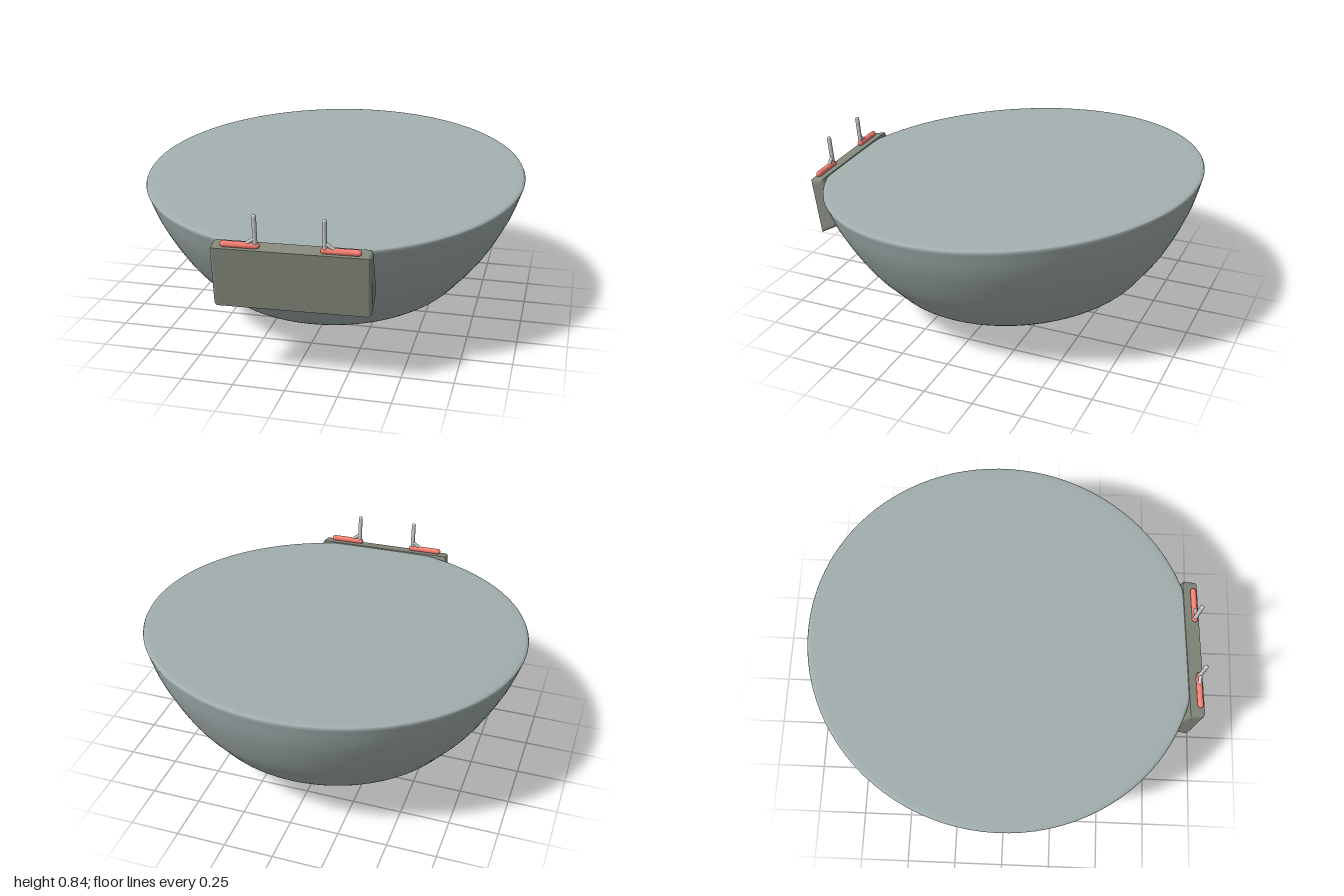
import * as THREE from 'three';

const mat = (color) => new THREE.MeshStandardMaterial({ color });

function add(parent, name, geometry, material) {
  const mesh = new THREE.Mesh(geometry, material);
  mesh.name = name;
  parent.add(mesh);
  return mesh;
}

export function createModel() {
  const model = new THREE.Group();
  const shellMat = mat(0xa3afaf), boxMat = mat(0x84897c), redMat = mat(0xfa8072), greyMat = mat(0xcccccc);

  // Bowl: solid, tilted toward the front, turned about the centre of its top
  const bowl = new THREE.Group();
  bowl.name = 'bowl';
  bowl.position.set(0, 0.757, -0.025);
  bowl.rotation.x = 0.0775;
  model.add(bowl);
  const side = new THREE.SplineCurve([
    [0, -0.755], [0.18, -0.735], [0.37, -0.688], [0.616, -0.58], [0.72, -0.48],
    [0.82, -0.351], [0.921, -0.165], [0.972, -0.025],
  ].map(([r, y]) => new THREE.Vector2(r, y))).getPoints(48);
  side[0].x = 0;
  add(bowl, 'bowlShell', new THREE.LatheGeometry(side, 96), shellMat);
  // Softly rounded rim running into the flat top
  const rim = [[0.972, -0.025], [0.976, -0.012], [0.972, -0.004], [0.96, -0.001], [0.93, 0], [0, 0]]
    .map(([r, y]) => new THREE.Vector2(r, y));
  add(bowl, 'bowlTop', new THREE.LatheGeometry(rim, 96), shellMat);

  // Control unit: wedge-shaped box on the front, turned slightly
  const control = new THREE.Group();
  control.name = 'controlUnit';
  control.position.set(0.022, 0, 0.93);
  control.rotation.y = 0.043;
  model.add(control);
  const bevel = 0.018, length = 0.735;
  const profile = new THREE.Shape([
    [-0.022, 0.661], [0.02, 0.67], [0.112, 0.459], [0.012, 0.4],
  ].map(([x, y]) => new THREE.Vector2(x, y)));
  const housing = new THREE.ExtrudeGeometry(profile, {
    depth: length - 2 * bevel, bevelEnabled: true, bevelSize: bevel,
    bevelThickness: bevel, bevelSegments: 4,
  });
  housing.translate(0, 0, bevel - length / 2).rotateY(Math.PI / 2);
  add(control, 'housing', housing, boxMat);

  // Mirrored pair of switches: red bar, upright lever and small brace
  for (const s of [-1, 1]) {
    const label = s < 0 ? 'right' : 'left';
    const bar = add(control, label + 'SwitchBar', new THREE.CapsuleGeometry(0.015, 0.155, 6, 16), redMat);
    bar.rotation.z = Math.PI / 2;
    bar.position.set(s * 0.23, 0.692, 0.02);

    const lever = add(control, label + 'Lever', new THREE.CapsuleGeometry(0.011, 0.14, 6, 12), greyMat);
    lever.position.set(s * 0.158, 0.764, 0.027);
    lever.rotation.x = 0.09;

    const brace = new THREE.LineCurve3(
      new THREE.Vector3(s * 0.2, 0.7, 0.021), new THREE.Vector3(s * 0.158, 0.73, 0.024));
    add(control, label + 'LeverBrace', new THREE.TubeGeometry(brace, 1, 0.009, 10), greyMat);
  }
  return model;
}
